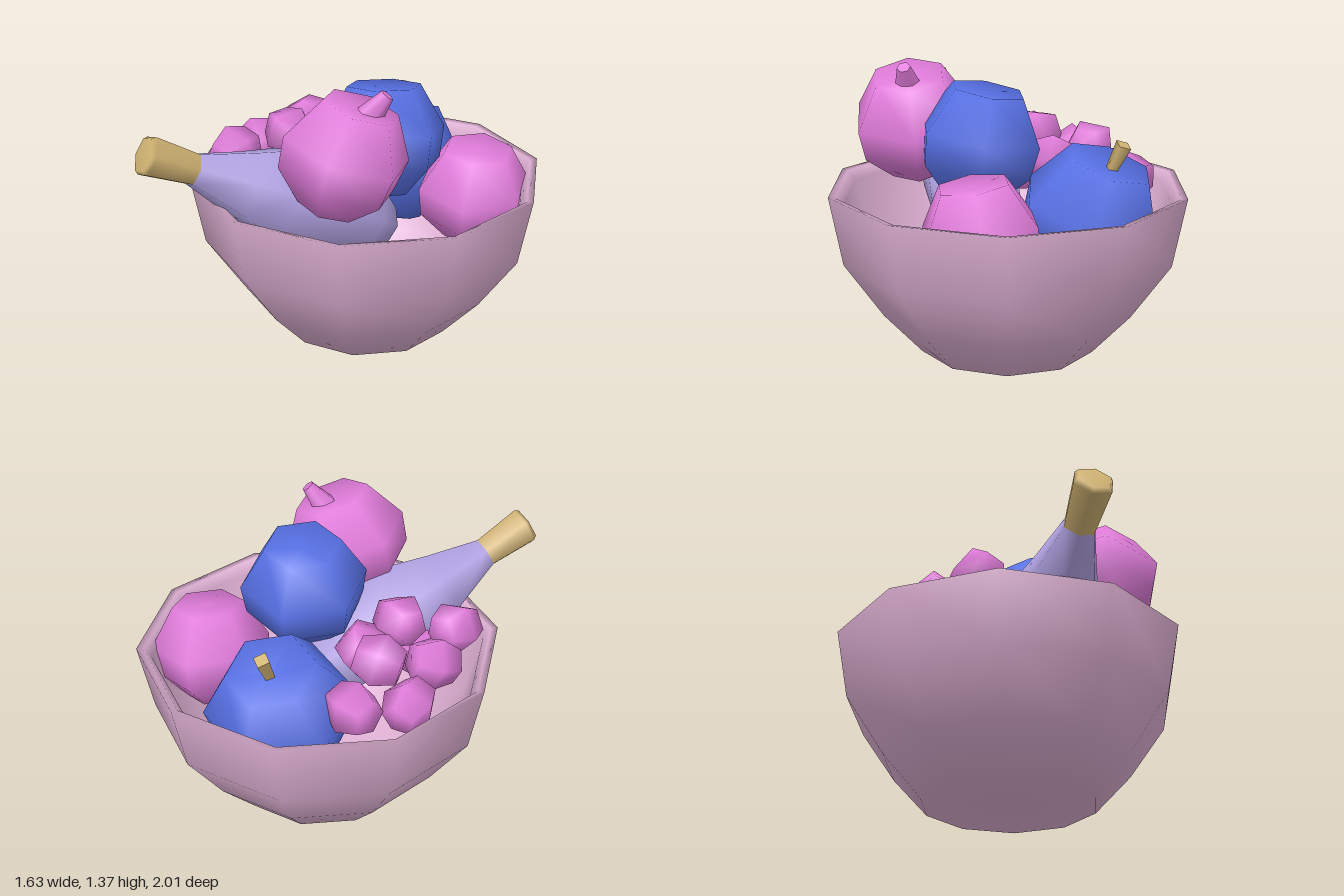
import * as THREE from 'three';

const UP = new THREE.Vector3(0, 1, 0);
const colors = { bowl: 0xdeb0d3, pink: 0xe07cda, blue: 0x566fe2, purple: 0xb2a3e4, gold: 0xd0b272 };
const mats = {};
for (const key in colors) mats[key] = new THREE.MeshStandardMaterial({ color: colors[key] });

function part(name, geometry, material) {
  const mesh = new THREE.Mesh(geometry, material);
  mesh.name = name;
  return mesh;
}

function lathe(points, sides) {
  return new THREE.LatheGeometry(points.map(([r, y]) => new THREE.Vector2(r, y)), sides);
}

// Places an object at pos with its own y axis along dir, spun about that axis
function place(object, pos, dir, spin = 0) {
  object.position.set(...pos);
  object.quaternion.setFromUnitVectors(UP, new THREE.Vector3(...dir).normalize());
  object.rotateY(spin);
  return object;
}

// Round six-sided fruit with a shallow dimple at the top
function fruit(name, r, material) {
  const profile = [[0, -0.88], [0.5, -0.88], [0.97, -0.38], [1.04, 0.15], [0.62, 0.86], [0, 0.8]];
  return part(name, lathe(profile.map(([x, y]) => [x * r, y * r]), 6), material);
}

export function createModel() {
  const model = new THREE.Group();
  model.name = 'fruitBowl';

  // Ten-sided bowl: up the outside, over the rounded rim and down the inside
  const bowl = part('bowl', lathe([
    [0, 0], [0.427, 0], [0.61, 0.2], [0.796, 0.47], [0.858, 0.8],
    [0.825, 0.795], [0.79, 0.75], [0.72, 0.48], [0.55, 0.23], [0.39, 0.06], [0, 0.06],
  ], 10), mats.bowl);
  bowl.position.z = -0.142;
  model.add(bowl);

  // Large blue fruit at the back, with a short square stem
  model.add(place(fruit('backBlueFruit', 0.335, mats.blue), [-0.18, 0.69, -0.53], [-0.06, 0.35, -0.11], 0.4));
  model.add(place(part('backFruitStem', new THREE.CylinderGeometry(0.04, 0.028, 0.15, 4), mats.gold),
    [-0.235, 0.99, -0.65], [-0.06, 0.35, -0.16], 0.4));

  // Blue fruit in the middle of the pile
  model.add(place(fruit('middleBlueFruit', 0.29, mats.blue), [0.14, 1.015, -0.11], [-0.12, 1, -0.12], 0.52));

  // Pink fruit at the front, with a leaning conical stem
  model.add(place(fruit('frontPinkFruit', 0.29, mats.pink), [0.26, 1.06, 0.27], [0.22, 0.95, -0.2], 0.5));
  model.add(place(part('frontFruitStem', new THREE.CylinderGeometry(0.032, 0.08, 0.2, 6), mats.pink),
    [0.35, 1.275, 0.18], [0.1, 0.18, -0.1]));

  // Pink fruit resting at the back right
  model.add(place(fruit('backPinkFruit', 0.272, mats.pink), [0.395, 0.7, -0.485], [0.12, 1, 0.06], 0.52));

  // Long tapering fruit over the rim; its y axis runs towards the cap
  const longFruit = new THREE.Group();
  longFruit.name = 'longFruit';
  longFruit.add(part('longFruitBody', lathe([
    [0, -1.13], [0.1, -1.1], [0.2, -0.95], [0.25, -0.7],
    [0.245, -0.45], [0.17, -0.26], [0.08, 0],
  ], 6), mats.purple));
  longFruit.add(part('longFruitCap', lathe([
    [0.08, 0], [0.1, 0.23], [0.085, 0.25], [0, 0.25],
  ], 6), mats.gold));
  model.add(place(longFruit, [-0.212, 1.005, 0.755], [-0.28, 0.44, 0.85], 0.52));

  // Cluster of small five-sided berries
  const berryGeometry = lathe([[0, -0.11], [0.085, -0.105], [0.13, 0], [0.085, 0.105], [0, 0.11]], 5);
  const berries = new THREE.Group();
  berries.name = 'berries';
  [
    [-0.52, 0.81, -0.40], [-0.63, 0.77, -0.16], [-0.46, 0.93, -0.19], [-0.28, 0.88, -0.12],
    [-0.55, 0.85, 0.07], [-0.32, 0.965, 0.07], [-0.46, 0.89, 0.30], [-0.33, 0.77, 0.17],
  ].forEach((pos, i) => {
    const dir = [Math.cos(i * 1.3), 0.3 * Math.sin(i * 2), Math.sin(i * 1.3)];
    berries.add(place(part('berry', berryGeometry, mats.pink), pos, dir, i * 0.8));
  });
  model.add(berries);

  return model;
}
